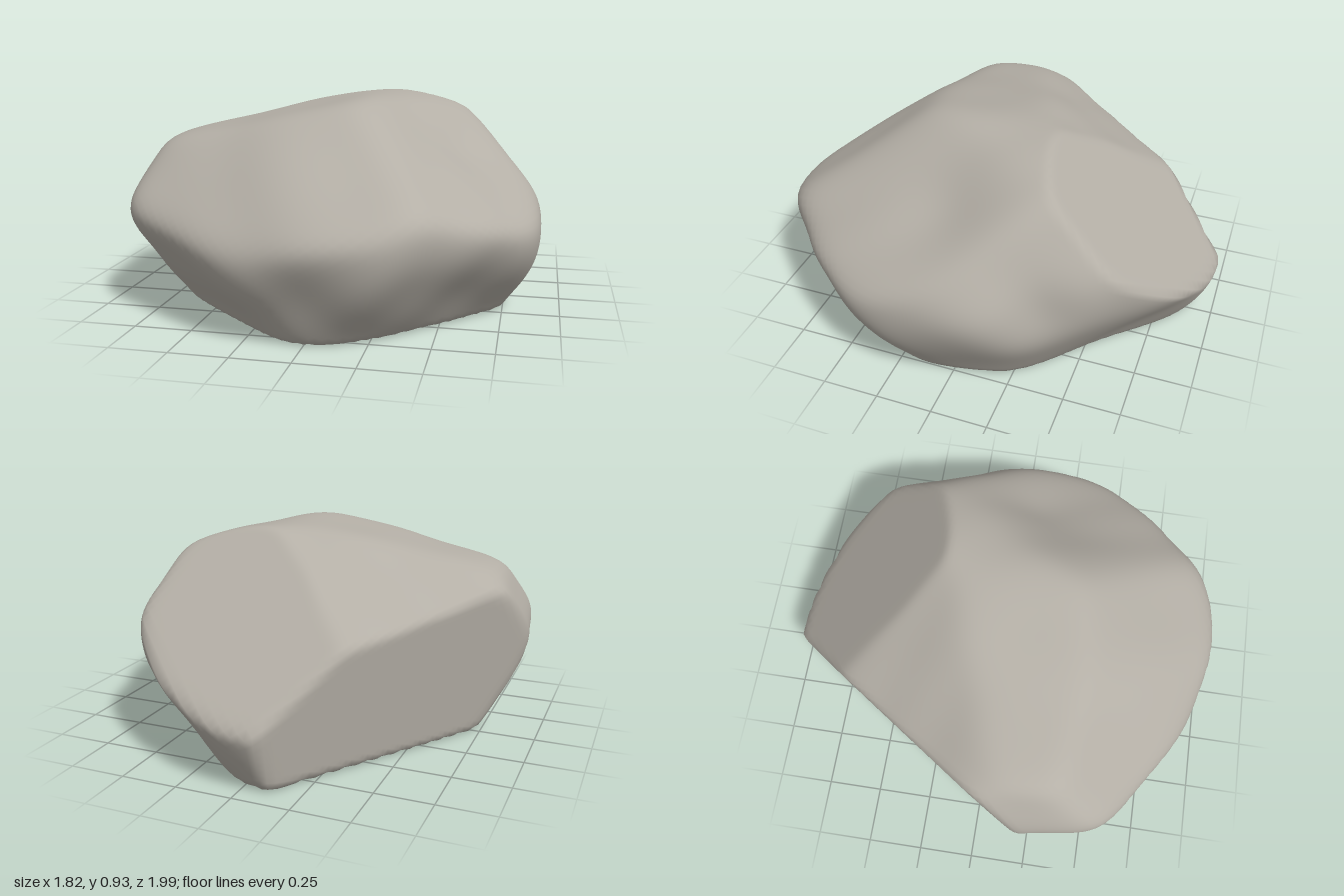
import * as THREE from 'three';
import { mergeVertices } from 'three/addons/utils/BufferGeometryUtils.js';

const CORE = new THREE.Vector3(0, 0.42, 0);

// A facet is a plane: normal (x, y, z) and offset, so that normal . point = offset
const facet = ([x, y, z, offset]) => {
  const normal = new THREE.Vector3(x, y, z);
  return { normal, reach: offset - normal.dot(CORE) };
};

// Clean breaks: flat base, sloping back, leaning side
const breaks = [
  [0, -1, 0, 0],
  [0, 1, -0.914, 1.174],
  [-0.82, -0.13, -0.55, 0.595],
].map(facet);

// Weathered facets, blended softly into each other
const worn = [
  // crown
  [0, 1, 0.05, 0.94], [-0.22, 1, 0.05, 0.91], [0.2, 1, 0, 0.965],
  [-0.4, 1, -0.5, 1.005],
  // upper slopes: front, front corners, flanks
  [0, 1, 0.66, 1.115], [-0.35, 1, 0.85, 1.27], [0.6, 1, 0.3, 1.07],
  [1, 0.75, -0.35, 1.26], [-1, 0.55, 0.1, 1.18], [1, 0.25, 0, 1.015],
  // rim, going round from the -x side by the front
  [-1, 0, 0.2, 0.98], [-0.75, 0, 0.65, 1.0], [-0.44, 0, 0.9, 0.945],
  [0, 0, 1, 1.03], [0.3, 0, 0.95, 1.03], [0.65, 0, 0.76, 0.94],
  [0.9, 0, 0.42, 0.945], [1, 0, 0, 0.94], [1, 0, -0.6, 0.995],
  [0.7, 0, -0.7, 0.89], [0.4, 0, -0.9, 0.97], [0.1, 0, -1, 1.02],
  // undercuts towards the base
  [-0.65, -0.78, 0.76, 0.65], [-1, -0.5, 0.2, 0.77], [-1, -0.85, 0.1, 0.7],
  [0, -0.45, 1, 0.805], [0.7, -0.75, 0.7, 0.645], [1, -0.55, -0.12, 0.71],
  [0.7, -0.7, -0.72, 0.625], [0, -0.4, -1, 0.875],
].map(facet);

// Shallow hollows: centre, depth, width
const hollows = [
  [new THREE.Vector3(0.52, 0.65, 0.1), 0.06, 0.22],
  [new THREE.Vector3(0.76, 0.45, -0.38), 0.06, 0.17],
  [new THREE.Vector3(-0.87, 0.25, 0.36), 0.04, 0.14],
];

// Gentle lumps over the weathered skin
const lumps = (p) =>
  0.008 * Math.sin(7 * p.x + 3 * p.y + 1) * Math.sin(6 * p.z - 4 * p.y) +
  0.006 * Math.sin(13 * p.x - 5 * p.z) * Math.sin(12 * p.y + 7 * p.z + 2);

// Soft minimum of the distances to a set of planes; a higher sharpness gives crisper edges
function blend(facets, dir, sharpness, start = 0) {
  let sum = start ** sharpness;
  for (const { normal, reach } of facets) {
    sum += Math.max(0, normal.dot(dir) / reach) ** sharpness;
  }
  return sum ** (-1 / sharpness);
}

// Distance from the core to the surface along a direction
function surfaceDistance(dir) {
  let r = Math.min(1.032 * blend(worn, dir, 25), 2);
  const p = dir.clone().multiplyScalar(r).add(CORE);
  r *= 1 + lumps(p);
  for (const [centre, depth, width] of hollows) {
    r *= 1 - depth * Math.exp(-p.distanceToSquared(centre) / width ** 2);
  }
  return blend(breaks, dir, 90, 1 / r);
}

export function createModel() {
  let geometry = new THREE.IcosahedronGeometry(1, 32);
  geometry.deleteAttribute('normal');
  geometry.deleteAttribute('uv');
  geometry = mergeVertices(geometry, 1e-4);

  const position = geometry.attributes.position;
  const dir = new THREE.Vector3();
  for (let i = 0; i < position.count; i++) {
    dir.fromBufferAttribute(position, i).normalize();
    const r = surfaceDistance(dir);
    position.setXYZ(i, dir.x * r, dir.y * r + CORE.y, dir.z * r);
  }
  geometry.computeVertexNormals();

  const rock = new THREE.Mesh(geometry, new THREE.MeshStandardMaterial({ color: 0xb4afa6 }));
  rock.name = 'rock';
  const model = new THREE.Group();
  model.name = 'boulder';
  model.add(rock);
  return model;
}
